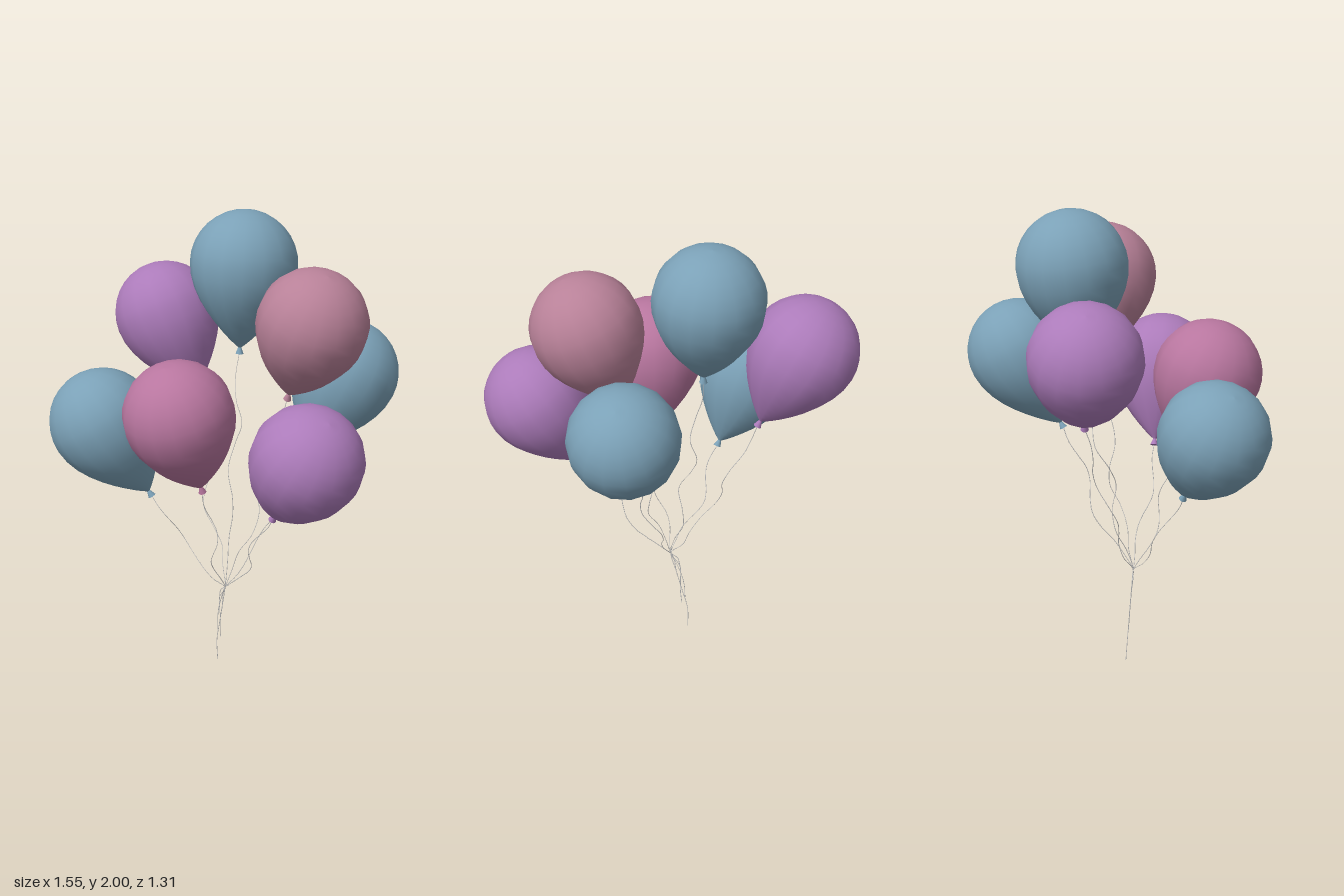
import * as THREE from 'three';

const BLUE = 0x7ba1b7, PURPLE = 0xac7bba, PINK = 0xb8769f, ROSE = 0xb88198;
const RADIUS = 0.227, NECK = 0.36;
const GATHER = new THREE.Vector3(-0.02, 0.4, 0.08);

// Name, colour, centre of the round end, knot, height of the string's loose end
const BALLOONS = [
  ['topBalloon', BLUE, [-0.155, 1.775, -0.16], [-0.14, 1.4, -0.12], 0],
  ['leftRoseBalloon', ROSE, [0.325, 1.63, -0.08], [0.18, 1.28, -0.09], 0.16],
  ['rightPurpleBalloon', PURPLE, [-0.55, 1.5, -0.065], [-0.37, 1.165, -0.09], 0.13],
  ['frontRightBalloon', BLUE, [-0.395, 1.155, 0.425], [-0.24, 0.83, 0.3], 0.28],
  ['frontPinkBalloon', PINK, [0.045, 1.285, 0.385], [0.045, 0.925, 0.265], 0.22],
  ['leftPurpleBalloon', PURPLE, [0.545, 1.175, 0.165], [0.335, 0.855, 0.145], 0.3],
  ['backBalloon', BLUE, [0.19, 1.32, -0.43], [0.14, 0.995, -0.24], 0.3],
];

// Teardrop: a cosine taper from the neck up to a hemispherical crown
function bodyGeometry() {
  const points = [];
  for (let i = 0; i < 10; i++) {
    const t = Math.cos((i / 10) * Math.PI / 2);
    const r = RADIUS * Math.pow(Math.cos(t * Math.PI / 2), 0.88);
    points.push(new THREE.Vector2(Math.max(r, 0.006), -NECK * t));
  }
  for (let i = 0; i <= 8; i++) {
    const a = (i / 8) * Math.PI / 2;
    points.push(new THREE.Vector2(i === 8 ? 0 : RADIUS * Math.cos(a), RADIUS * Math.sin(a)));
  }
  return new THREE.LatheGeometry(points, 16);
}

// Flared rubber lip below the neck
function knotGeometry() {
  return new THREE.CylinderGeometry(0.007, 0.017, 0.028, 10).translate(0, -NECK - 0.01, 0);
}

// Wavy string: curls in from the knot to the gathering point, then hangs to its loose end
function stringGeometry(knot, end, phase) {
  const points = [];
  for (let i = 0; i <= 10; i++) {
    const s = 1 - i / 10;
    const p = GATHER.clone().lerp(knot, Math.pow(s, 0.8));
    p.y = THREE.MathUtils.lerp(GATHER.y, knot.y, s);
    const wave = 0.03 * Math.sin(Math.PI * s);
    p.x += wave * Math.sin(p.y * 18 + phase);
    p.z += wave * Math.cos(p.y * 15 + phase * 2);
    points.push(p);
  }
  for (let i = 1; i <= 4; i++) {
    const y = THREE.MathUtils.lerp(GATHER.y, end, i / 4);
    const drop = (GATHER.y - y) / GATHER.y;
    const x = GATHER.x - 0.075 * Math.sqrt(drop) + 0.012 * Math.sin(drop * 6 + phase);
    points.push(new THREE.Vector3(x, y, GATHER.z - 0.025 * drop));
  }
  return new THREE.TubeGeometry(new THREE.CatmullRomCurve3(points), 60, 0.0016, 4);
}

export function createModel() {
  const model = new THREE.Group();
  model.name = 'balloonBunch';
  const body = bodyGeometry();
  const knot = knotGeometry();
  const stringMaterial = new THREE.MeshStandardMaterial({ color: 0xcccccc });

  BALLOONS.forEach(([name, color, centre, knotPosition, end], i) => {
    const material = new THREE.MeshStandardMaterial({ color });
    const centrePoint = new THREE.Vector3(...centre);
    const knotPoint = new THREE.Vector3(...knotPosition);

    // Balloon body and knot, tilted so the neck points at the string
    const balloon = new THREE.Group();
    balloon.name = name;
    const bodyMesh = new THREE.Mesh(body, material);
    bodyMesh.name = 'body';
    const knotMesh = new THREE.Mesh(knot, material);
    knotMesh.name = 'knot';
    balloon.add(bodyMesh, knotMesh);
    balloon.position.copy(centrePoint);
    const axis = knotPoint.clone().sub(centrePoint).normalize();
    balloon.quaternion.setFromUnitVectors(new THREE.Vector3(0, -1, 0), axis);
    model.add(balloon);

    // Thin string
    const string = new THREE.Mesh(stringGeometry(knotPoint, end, i * 2.1), stringMaterial);
    string.name = name + 'String';
    model.add(string);
  });
  return model;
}
